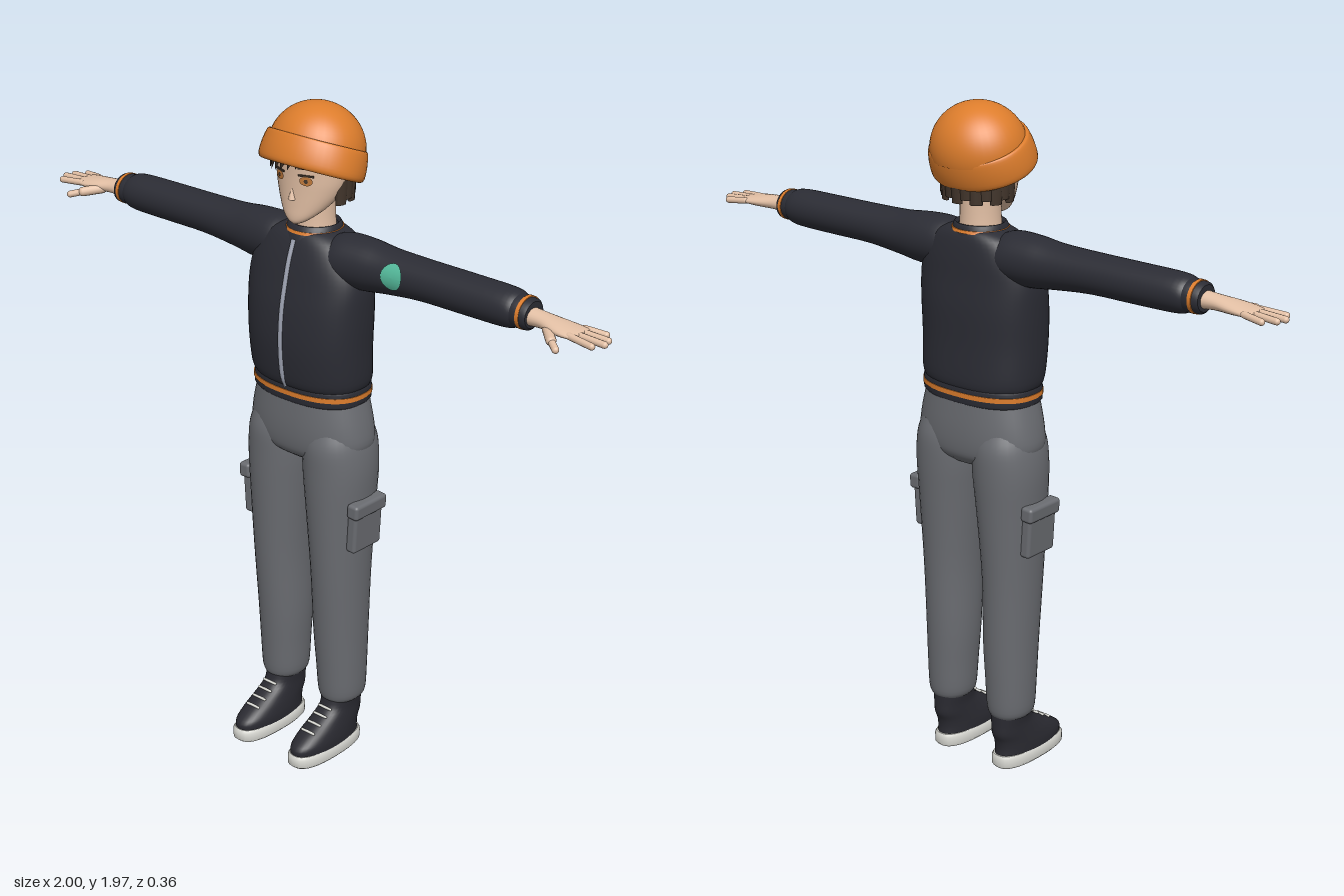
import * as THREE from 'three';
import { RoundedBoxGeometry } from 'three/addons/geometries/RoundedBoxGeometry.js';

const paint = (name, color) => Object.assign(new THREE.MeshStandardMaterial({ color }), { name });

// Catmull-Rom refinement of the rows [y, cx, cz, rx, rz]
function refine(rows, k) {
  const out = [];
  for (let j = 0; j < rows.length - 1; j++) {
    const a = rows[Math.max(j - 1, 0)], b = rows[j], c = rows[j + 1], d = rows[Math.min(j + 2, rows.length - 1)];
    for (let s = 0; s < k; s++) {
      const t = s / k;
      out.push(b.map((v, i) => {
        const cubic = 3 * (v - c[i]) + d[i] - a[i];
        const square = 2 * a[i] - 5 * v + 4 * c[i] - d[i];
        return v + 0.5 * t * (c[i] - a[i] + t * (square + t * cubic));
      }));
    }
  }
  out.push(rows[rows.length - 1]);
  return out;
}

// Closed skin over superelliptic rings stacked along y
function loft(rows, { p = 2, n = 36, k = 4, caps = true } = {}) {
  const rings = k > 1 ? refine(rows, k) : rows, pos = [], idx = [];
  const addRing = ([y, cx, cz, rx, rz]) => {
    for (let i = 0; i < n; i++) {
      const a = (i / n) * Math.PI * 2, c = Math.cos(a), s = Math.sin(a);
      pos.push(cx + rx * Math.sign(c) * Math.abs(c) ** (2 / p), y, cz + rz * Math.sign(s) * Math.abs(s) ** (2 / p));
    }
  };
  rings.forEach(addRing);
  for (let j = 0; j < rings.length - 1; j++) {
    for (let i = 0; i < n; i++) {
      const a = j * n + i, b = j * n + (i + 1) % n;
      idx.push(a, a + n, b, b, a + n, b + n);
    }
  }
  if (caps) [rings[0], rings[rings.length - 1]].forEach((r, top) => {
    const base = pos.length / 3;
    addRing(r);
    pos.push(r[1], r[0], r[2]);
    for (let i = 0; i < n; i++) {
      const a = base + i, b = base + (i + 1) % n;
      idx.push(base + n, top ? b : a, top ? a : b);
    }
  });
  const g = new THREE.BufferGeometry();
  g.setAttribute('position', new THREE.Float32BufferAttribute(pos, 3));
  g.setIndex(idx);
  g.computeVertexNormals();
  return g;
}

// Rows [x, cy, cz, ry, rz] laid along the arm of side s
const armLoft = (s, rows, opts) =>
  loft(rows.map(([x, cy, cz, ry, rz]) => [x, -s * cy, cz, ry, rz]), opts).rotateZ(-s * Math.PI / 2);

export function createModel() {
  const skin = paint('skin', 0xe2bfa4), orange = paint('orange', 0xdd7d2c), navy = paint('jacketNavy', 0x2b2c34);
  const grey = paint('trouserGrey', 0x6a6c71), hairBrown = paint('hairBrown', 0x43362c), white = paint('soleWhite', 0xdcdcd6);
  const silver = paint('zipSilver', 0x9a9fae), teal = paint('badgeTeal', 0x55bb9c), amber = paint('eyeAmber', 0xc07a3c);
  const shoeBlack = paint('shoeBlack', 0x2a2a31);
  const model = new THREE.Group();
  model.name = 'figure';
  const add = (name, geo, mat, parent = model) => {
    const m = new THREE.Mesh(geo, mat);
    m.name = name;
    parent.add(m);
    return m;
  };
  // Round-ended rod between two points
  const rod = (name, a, b, r, mat, parent) => {
    const A = new THREE.Vector3(...a), B = new THREE.Vector3(...b), d = B.clone().sub(A);
    const m = add(name, new THREE.CapsuleGeometry(r, d.length(), 5, 12), mat, parent);
    m.position.copy(A).add(B).multiplyScalar(0.5);
    m.quaternion.setFromUnitVectors(new THREE.Vector3(0, 1, 0), d.normalize());
  };

  // Jacket body, hem band and collar
  const body = [[1.17, 0, -0.036, 0.176, 0.113], [1.2, 0, -0.033, 0.188, 0.123], [1.3, 0, -0.026, 0.193, 0.126],
    [1.4, 0, -0.028, 0.198, 0.122], [1.48, 0, -0.032, 0.198, 0.11], [1.54, 0, -0.037, 0.182, 0.1],
    [1.59, 0, -0.042, 0.145, 0.087], [1.615, 0, -0.045, 0.095, 0.074], [1.622, 0, -0.045, 0.06, 0.06]];
  add('jacketBody', loft(body, { p: 2.4, n: 48 }), navy);
  add('hemBand', loft([[1.128, 0, -0.036, 0.178, 0.113], [1.135, 0, -0.036, 0.184, 0.118],
    [1.172, 0, -0.036, 0.184, 0.118], [1.18, 0, -0.036, 0.178, 0.113]], { p: 2.4, n: 48, k: 1 }), navy);
  add('hemStripe', loft([[1.149, 0, -0.036, 0.186, 0.12], [1.163, 0, -0.036, 0.186, 0.12]], { p: 2.4, n: 48, k: 1 }), orange);
  add('collar', loft([[1.57, 0, -0.04, 0.09, 0.092], [1.6, 0, -0.042, 0.086, 0.084], [1.628, 0, -0.045, 0.076, 0.074],
    [1.634, 0, -0.045, 0.07, 0.068], [1.625, 0, -0.045, 0.064, 0.062]], { k: 2 }), navy);
  add('collarStripe', loft([[1.612, 0, -0.045, 0.084, 0.082], [1.62, 0, -0.045, 0.081, 0.079]], { k: 1 }), orange);
  const zipPath = body.slice(0, 7).map(([y, , cz, , rz]) => new THREE.Vector3(0, y + 0.004, cz + rz));
  zipPath.push(new THREE.Vector3(0, 1.6, 0.044));
  add('zip', new THREE.TubeGeometry(new THREE.CatmullRomCurve3(zipPath), 40, 0.007, 8), silver);

  // Hips
  add('hips', loft([[0.94, 0, -0.042, 0.1, 0.075], [0.965, 0, -0.04, 0.17, 0.105], [1.0, 0, -0.039, 0.201, 0.115],
    [1.06, 0, -0.038, 0.197, 0.117], [1.14, 0, -0.037, 0.178, 0.112]], { p: 2.3, n: 48 }), grey);

  for (const s of [1, -1]) {
    const limb = (name) => {
      const g = new THREE.Group();
      g.name = (s > 0 ? 'left' : 'right') + name;
      model.add(g);
      return g;
    };

    // Sleeve with striped cuff
    const arm = limb('Arm');
    add('sleeve', armLoft(s, [[0.07, 1.545, -0.042, 0.06, 0.07], [0.12, 1.55, -0.042, 0.073, 0.078], [0.2, 1.55, -0.044, 0.073, 0.074],
      [0.28, 1.551, -0.045, 0.064, 0.066], [0.4, 1.555, -0.045, 0.057, 0.061], [0.55, 1.555, -0.045, 0.056, 0.06],
      [0.68, 1.555, -0.044, 0.054, 0.058], [0.715, 1.555, -0.043, 0.044, 0.048]]), navy, arm);
    add('cuff', armLoft(s, [[0.705, 1.555, -0.043, 0.043, 0.047], [0.712, 1.555, -0.043, 0.046, 0.05],
      [0.75, 1.554, -0.042, 0.043, 0.047], [0.757, 1.554, -0.042, 0.036, 0.04]], { k: 1 }), navy, arm);
    add('cuffStripe', armLoft(s, [[0.73, 1.555, -0.043, 0.046, 0.05], [0.741, 1.555, -0.043, 0.0455, 0.0495]], { k: 1 }), orange, arm);

    // Hand
    add('palm', armLoft(s, [[0.74, 1.55, -0.04, 0.026, 0.03], [0.79, 1.55, -0.039, 0.021, 0.03], [0.84, 1.547, -0.036, 0.018, 0.04],
      [0.88, 1.545, -0.036, 0.014, 0.044], [0.91, 1.544, -0.038, 0.01, 0.041], [0.916, 1.544, -0.038, 0.005, 0.035]], { n: 24 }), skin, arm);
    [[0.955, -0.073, -0.084], [0.982, -0.05, -0.055], [0.99, -0.027, -0.027], [0.972, -0.005, 0.004]].forEach(([x, z0, z1]) =>
      rod('finger', [s * 0.895, 1.545, z0], [s * x, 1.54, z1], 0.0095, skin, arm));
    rod('thumbBase', [s * 0.82, 1.541, -0.015], [s * 0.862, 1.532, 0.025], 0.014, skin, arm);
    rod('thumbTip', [s * 0.862, 1.532, 0.025], [s * 0.893, 1.523, 0.048], 0.01, skin, arm);

    // Trouser leg
    const leg = limb('Leg');
    add('trouserLeg', loft([[0.165, 0.112, -0.043, 0.054, 0.064], [0.19, 0.112, -0.043, 0.066, 0.073], [0.28, 0.111, -0.042, 0.071, 0.079],
      [0.4, 0.109, -0.04, 0.076, 0.086], [0.6, 0.111, -0.036, 0.081, 0.096], [0.8, 0.108, -0.037, 0.094, 0.108],
      [0.92, 0.105, -0.039, 0.103, 0.114], [1.0, 0.102, -0.039, 0.099, 0.114], [1.05, 0.1, -0.039, 0.085, 0.1]]
      .map(([y, x, ...r]) => [y, s * x, ...r]), { p: 2.1 }), grey, leg);

    // Cargo pocket
    const pocket = new THREE.Group();
    pocket.name = 'cargoPocket';
    pocket.position.set(s * 0.2, 0.76, -0.033);
    pocket.rotation.z = -s * 0.06;
    leg.add(pocket);
    add('pocketBag', new RoundedBoxGeometry(0.034, 0.14, 0.118, 3, 0.01), grey, pocket);
    add('pocketFlap', new RoundedBoxGeometry(0.04, 0.045, 0.134, 3, 0.01), grey, pocket).position.set(s * 0.005, 0.065, 0);

    // Shoe
    const shoe = limb('Shoe');
    shoe.position.x = s * 0.111;
    add('sole', loft([[0, 0, 0.034, 0.05, 0.132], [0.008, 0, 0.035, 0.057, 0.14], [0.032, 0, 0.035, 0.057, 0.141],
      [0.041, 0, 0.034, 0.052, 0.135]], { p: 2.5, k: 1 }), white, shoe);
    add('upper', loft([[0.036, 0, 0.035, 0.053, 0.132], [0.06, 0, 0.035, 0.054, 0.13], [0.085, 0, 0.016, 0.052, 0.115],
      [0.11, 0, -0.012, 0.049, 0.097], [0.14, 0, -0.036, 0.047, 0.073], [0.175, 0, -0.043, 0.05, 0.065],
      [0.185, 0, -0.043, 0.048, 0.062]], { p: 2.3 }), shoeBlack, shoe);
    [[0.097, 0.108], [0.113, 0.08], [0.13, 0.054], [0.147, 0.033]].forEach(([y, z]) =>
      rod('lace', [-0.022, y, z], [0.022, y, z], 0.004, white, shoe));
  }

  // Round badge wrapped on the left sleeve
  const badge = new THREE.RingGeometry(0, 0.036, 32, 5), bp = badge.attributes.position;
  for (let i = 0; i < bp.count; i++) {
    const dy = (bp.getY(i) + 0.01) / 0.064;
    bp.setZ(i, 0.068 * Math.sqrt(1 - dy * dy));
  }
  badge.computeVertexNormals();
  add('badge', badge, teal).position.set(0.328, 1.563, -0.045);

  // Neck and head
  const head = new THREE.Group();
  head.name = 'head';
  model.add(head);
  add('neck', loft([[1.59, 0, -0.045, 0.062, 0.062], [1.65, 0, -0.045, 0.057, 0.059], [1.72, 0, -0.045, 0.057, 0.059]]), skin, head);
  add('face', loft([[1.643, 0, 0.035, 0.008, 0.008], [1.652, 0, 0.03, 0.028, 0.02], [1.668, 0, 0.018, 0.05, 0.034], [1.695, 0, -0.006, 0.076, 0.057],
    [1.735, 0, -0.03, 0.1, 0.08], [1.78, 0, -0.04, 0.112, 0.09], [1.85, 0, -0.045, 0.113, 0.095], [1.92, 0, -0.045, 0.08, 0.075]]), skin, head);
  add('nose', new THREE.ConeGeometry(0.012, 0.035, 12), skin, head).position.set(0, 1.733, 0.049);

  // Eyes and brows
  for (const s of [1, -1]) {
    const eye = new THREE.Group();
    eye.name = s > 0 ? 'leftEye' : 'rightEye';
    eye.position.set(s * 0.047, 1.775, 0.0455);
    eye.rotation.y = s * 0.36;
    head.add(eye);
    add('iris', new THREE.CircleGeometry(0.013, 20).scale(1.5, 1, 1), amber, eye);
    add('pupil', new THREE.CircleGeometry(0.006, 16), hairBrown, eye).position.z = 0.002;
    add('lash', new THREE.BoxGeometry(0.046, 0.005, 0.004), hairBrown, eye).position.y = 0.015;
    add('brow', new THREE.BoxGeometry(0.045, 0.005, 0.004), hairBrown, eye).position.set(0, 0.036, 0.002);
  }

  // Hair: overlapping locks round the back and sides
  const hair = new THREE.Group();
  hair.name = 'hair';
  head.add(hair);
  for (let i = 0; i < 13; i++) {
    const a = (i / 12 - 0.5) * 3.5, drop = i % 2 ? 0.012 : 0;
    const lock = add('lock', new THREE.CylinderGeometry(0.03, 0.018, 0.13 - drop, 8).scale(1, 1, 0.5), hairBrown, hair);
    lock.position.set(Math.sin(a) * 0.1, 1.765 + drop / 2, -0.055 - Math.cos(a) * 0.088);
    lock.rotation.y = -a;
  }
  // Swept fringe
  for (let i = 0; i < 7; i++) {
    const x = -0.1 + i * 0.026, z = -0.042 + 0.105 * Math.sqrt(1 - (x / 0.125) ** 2);
    const len = 0.095 - i * 0.007;
    const lock = add('fringeLock', new THREE.ConeGeometry(0.024, len, 8).rotateX(Math.PI).scale(1, 1, 0.5), hairBrown, hair);
    lock.position.set(x, 1.865 - len / 2, z);
    lock.rotation.set(0, x * 5, -0.3);
  }

  // Hat: dome with a tilted turned-up brim
  const hat = new THREE.Group();
  hat.name = 'hat';
  model.add(hat);
  const dome = add('hatDome', new THREE.SphereGeometry(1, 40, 20, 0, Math.PI * 2, 0, Math.PI * 0.52).scale(0.14, 0.132, 0.13), orange, hat);
  dome.position.set(0, 1.836, -0.051);
  dome.rotation.x = -0.2;
  const brim = add('hatBrim', loft([[0.03, 0, 0, 0.122, 0.108], [0.004, 0, 0, 0.14, 0.118], [0.002, 0, 0, 0.152, 0.127], [0.014, 0, 0, 0.159, 0.134],
    [0.045, 0, 0, 0.157, 0.135], [0.076, 0, 0, 0.15, 0.131], [0.086, 0, 0, 0.142, 0.126], [0.08, 0, 0, 0.125, 0.112]],
    { n: 48, k: 3 }), orange, hat);
  brim.position.set(0, 1.78, -0.024);
  brim.rotation.x = -0.38;

  return model;
}
